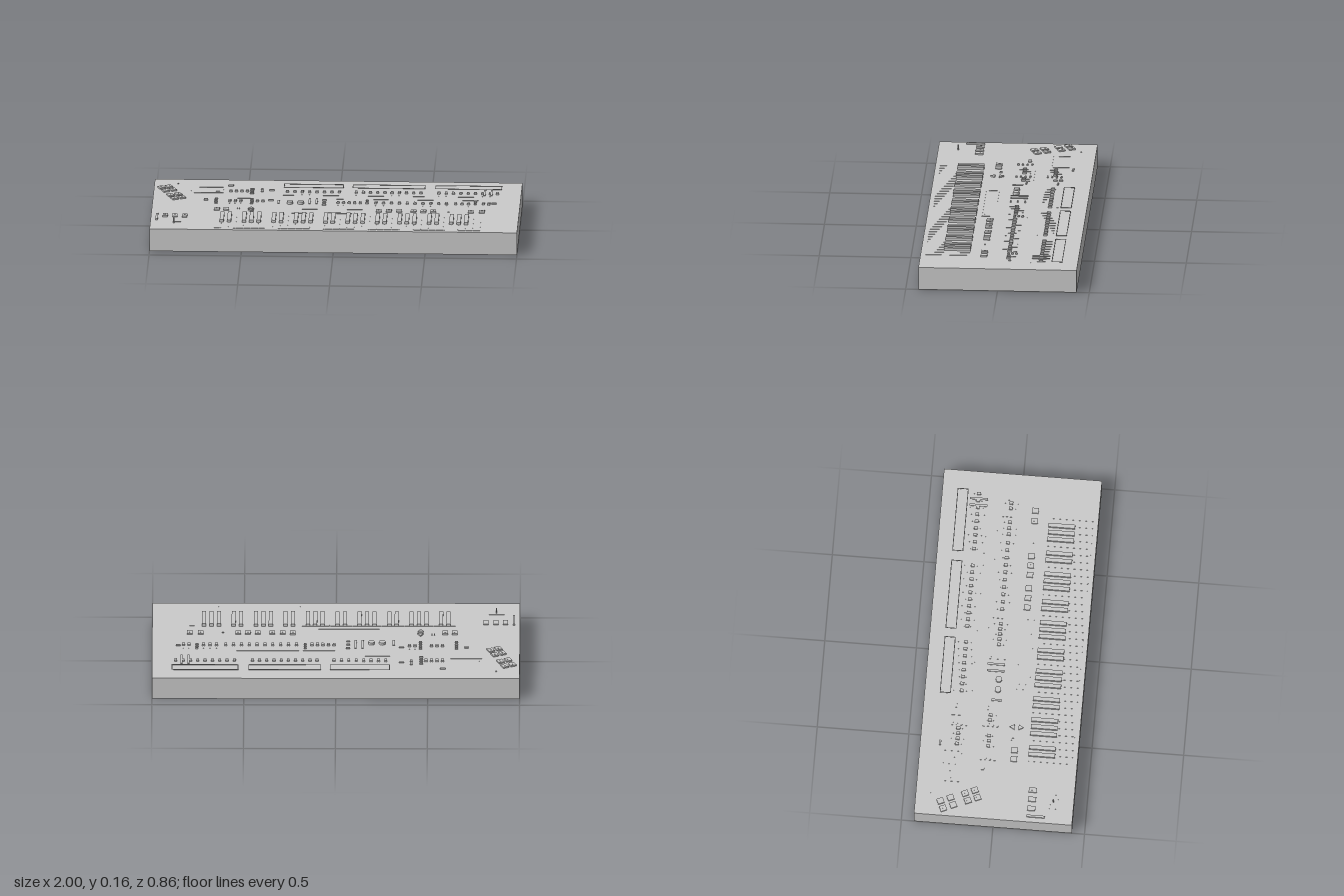
import * as THREE from 'three';

const TOP = 0.127; // height of the case's upper face
const material = new THREE.MeshStandardMaterial({ color: 0xcccccc, flatShading: true });

export function createModel() {
  const model = new THREE.Group();

  const section = (name) => {
    const g = new THREE.Group();
    g.name = name;
    model.add(g);
    return g;
  };
  const add = (parent, name, geometry, x, y, z, turn = 0) => {
    const mesh = new THREE.Mesh(geometry, material);
    mesh.name = name;
    mesh.position.set(x, y, z);
    mesh.rotation.y = turn;
    parent.add(mesh);
    return mesh;
  };
  // Box sitting on the upper face, or hovering by lift
  const block = (parent, name, x, z, w, d, h, lift = 0, turn = 0) =>
    add(parent, name, new THREE.BoxGeometry(w, h, d), x, TOP + lift + h / 2, z, turn);
  // Thin rectangular border
  const frame = (parent, name, x0, x1, z0, z1, h, lift = 0, t = 0.004) => {
    const s = new THREE.Shape([[x0, -z0], [x0, -z1], [x1, -z1], [x1, -z0]].map((p) => new THREE.Vector2(...p)));
    s.holes.push(new THREE.Path([[x0 + t, -z0 - t], [x1 - t, -z0 - t], [x1 - t, -z1 + t], [x0 + t, -z1 + t]]
      .map((p) => new THREE.Vector2(...p))));
    const g = new THREE.ExtrudeGeometry(s, { depth: h, bevelEnabled: false });
    g.rotateX(-Math.PI / 2);
    add(parent, name, g, 0, TOP + lift, 0);
  };
  // Square button with a small lamp
  const button = (parent, x, z, w, d, turn = 0) => {
    block(parent, 'button', x, z, w, d, 0.008, 0, turn);
    block(parent, 'buttonLamp', x, z - d * 0.1, 0.006, 0.006, 0.01, 0, turn);
  };
  // Slider: flat slot with a raised cap
  const slider = (parent, x, z, length = 0.09) => {
    block(parent, 'sliderSlot', x, z, 0.004, length, 0.001);
    block(parent, 'sliderCap', x, z, 0.015, 0.02, 0.009);
  };
  const row = (n, x0, x1, fn) => {
    for (let i = 0; i < n; i++) fn(x0 + ((x1 - x0) * i) / Math.max(1, n - 1), i);
  };

  // Case
  add(model, 'case', new THREE.BoxGeometry(2, TOP, 0.862), 0, TOP / 2, 0);

  // Keyboard: five octaves and a final C
  const keys = section('keyboard');
  const pitch = 0.0403, keyStart = -0.652;
  for (let i = 0; i < 36; i++) {
    block(keys, 'whiteKey', keyStart + (i + 0.5) * pitch, 0.285, pitch - 0.003, 0.24, 0.002);
    if (i < 35 && ![2, 6].includes(i % 7)) {
      block(keys, 'blackKey', keyStart + (i + 1) * pitch, 0.235, 0.022, 0.145, 0.016);
    }
  }

  // Performance controls at the left end
  const performance = section('performanceControls');
  block(performance, 'ribbon', -0.967, 0.23, 0.012, 0.1, 0.009);
  for (const x of [-0.922, -0.869, -0.816]) button(performance, x, 0.203, 0.027, 0.044);
  frame(performance, 'leverPlate', -0.915, -0.83, 0.3, 0.345, 0.001);
  add(performance, 'leverStick', new THREE.CylinderGeometry(0.004, 0.004, 0.03, 10), -0.872, TOP + 0.015, 0.32);
  add(performance, 'indicator', new THREE.CylinderGeometry(0.004, 0.004, 0.004, 10), -0.872, TOP + 0.002, -0.35);

  // Two slanted clusters of pads
  for (const [x, z] of [[-0.96, -0.275], [-0.936, -0.222], [-0.905, -0.145], [-0.883, -0.094]]) {
    button(performance, x, z, 0.032, 0.036, 0.42);
    button(performance, x + 0.041, z - 0.018, 0.032, 0.036, 0.42);
  }

  // Upper slider banks with label frames
  const banks = section('upperSliderBanks');
  for (const [x0, x1, n] of [[-0.294, 0.032, 8], [0.08, 0.476, 10], [0.53, 0.893, 9]]) {
    frame(banks, 'labelFrame', x0, x1, -0.348, -0.288, 0.002, 0.007);
    block(banks, 'bankRule', (x0 + x1) / 2, -0.175, x1 - x0, 0.004, 0.001);
    row(n, x0 + 0.022, x1 - 0.022, (x) => slider(banks, x, -0.23));
  }
  for (const x of [0.802, 0.84]) block(banks, 'longSlider', x, -0.228, 0.012, 0.098, 0.003, 0.007);

  // Left display and its neighbours
  const left = section('leftPanel');
  frame(left, 'displayFrame', -0.8, -0.62, -0.3, -0.2, 0.002);
  row(4, -0.77, -0.65, (x) => block(left, 'displayCell', x, -0.25, 0.02, 0.04, 0.001));
  block(left, 'label', -0.582, -0.322, 0.028, 0.01, 0.008);
  row(4, -0.58, -0.49, (x) => slider(left, x, -0.23, 0.07));
  for (const z of [-0.265, -0.24, -0.215, -0.19]) block(left, 'switch', -0.464, z, 0.02, 0.008, 0.007);
  for (const z of [-0.265, -0.235]) block(left, 'switch', -0.41, z, 0.012, 0.02, 0.007);
  block(left, 'switch', -0.357, -0.252, 0.028, 0.008, 0.007);

  // Middle row of sliders, switches and knobs
  const middle = section('middleControls');
  block(middle, 'switch', -0.71, -0.08, 0.022, 0.018, 0.007);
  for (const x of [-0.655, -0.46]) {
    for (const z of [-0.095, -0.07, -0.045, -0.02]) block(middle, 'switch', x, z, 0.016, 0.01, 0.007);
  }
  row(3, -0.58, -0.52, (x) => slider(middle, x, -0.06, 0.07));
  row(2, -0.43, -0.4, (x) => slider(middle, x, -0.062, 0.07));
  block(middle, 'switch', -0.357, -0.08, 0.028, 0.008, 0.007);
  block(middle, 'longSlider', -0.314, -0.036, 0.012, 0.058, 0.003, 0.007);
  for (const x of [-0.252, -0.193]) {
    add(middle, 'knob', new THREE.CylinderGeometry(0.017, 0.017, 0.014, 24), x, TOP + 0.007, -0.034);
  }
  for (const x of [-0.145, -0.107]) block(middle, 'longSlider', x, -0.055, 0.012, 0.096, 0.003, 0.007);
  for (const z of [-0.09, -0.05, -0.012]) block(middle, 'switch', -0.066, z, 0.02, 0.008, 0.007);
  row(5, 0.01, 0.13, (x) => slider(middle, x, -0.05, 0.08));
  for (const x of [0.167, 0.756]) {
    for (const z of [-0.09, -0.068, -0.046]) block(middle, 'switch', x, z, 0.014, 0.011, 0.007);
  }
  row(10, 0.215, 0.6, (x) => slider(middle, x, -0.05, 0.08));
  row(3, 0.65, 0.72, (x) => slider(middle, x, -0.05, 0.08));
  row(2, 0.8, 0.83, (x) => slider(middle, x, -0.05, 0.08));
  block(middle, 'switch', 0.858, -0.06, 0.026, 0.012, 0.007);
  for (const [x0, x1] of [[-0.6, -0.38], [0, 0.18], [0.2, 0.62], [0.64, 0.86]]) {
    block(middle, 'groupRule', (x0 + x1) / 2, -0.115, x1 - x0, 0.003, 0.001);
  }

  // Program buttons, cursor arrows and main display above the keys
  const program = section('programControls');
  for (const x of [-0.645, -0.594, 0.235, 0.291, 0.347, 0.425, 0.479, 0.533, 0.737, 0.797]) {
    button(program, x, 0.085, 0.03, 0.035);
  }
  for (const x of [-0.535, -0.522]) block(program, 'indicator', x, 0.068, 0.005, 0.014, 0.004);
  block(program, 'indicator', 0.615, 0.09, 0.012, 0.005, 0.004);
  for (const s of [-1, 1]) {
    const arrow = new THREE.CylinderGeometry(0.018, 0.018, 0.008, 3);
    add(program, 'cursorArrow', arrow, -0.46, TOP + 0.004, 0.085 + s * 0.02, s > 0 ? 0 : Math.PI);
  }
  frame(program, 'mainDisplayFrame', -0.24, 0.17, 0.06, 0.135, 0.001);
  block(program, 'mainDisplay', -0.035, 0.0975, 0.35, 0.045, 0.001);
  return model;
}
